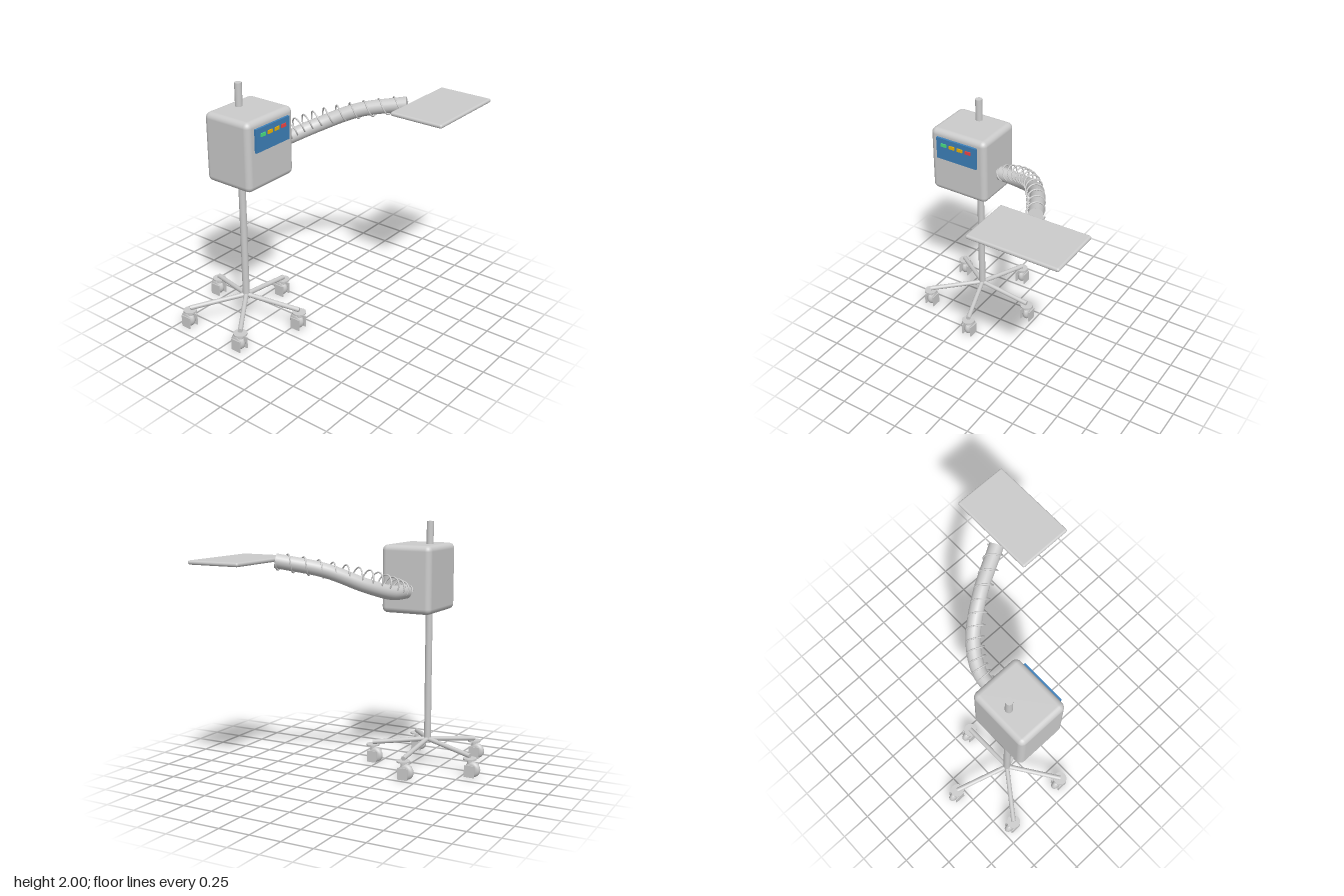
import * as THREE from 'three';
import { RoundedBoxGeometry } from 'three/addons/geometries/RoundedBoxGeometry.js';

const POLE_X = -0.52, POLE_Z = -0.38;
const paint = (color) => new THREE.MeshStandardMaterial({ color });
const grey = paint(0xcccccc);

function add(parent, name, geometry, x = 0, y = 0, z = 0, material = grey) {
  const mesh = new THREE.Mesh(geometry, material);
  mesh.name = name;
  mesh.position.set(x, y, z);
  parent.add(mesh);
  return mesh;
}

// Round bar between two points
function addBar(parent, name, a, b, radius) {
  const dir = b.clone().sub(a);
  const mid = a.clone().add(b).multiplyScalar(0.5);
  const bar = add(parent, name, new THREE.CylinderGeometry(radius, radius, dir.length(), 20), mid.x, mid.y, mid.z);
  bar.quaternion.setFromUnitVectors(new THREE.Vector3(0, 1, 0), dir.normalize());
  return bar;
}

// Wire wound around a centre line, rolling from the outer side over the top
class CoilCurve extends THREE.Curve {
  constructor(path, radius, turns) {
    super();
    Object.assign(this, { path, radius, turns });
  }
  getPoint(t, target = new THREE.Vector3()) {
    const up = new THREE.Vector3(0, 1, 0);
    const tangent = this.path.getTangent(t);
    const side = new THREE.Vector3().crossVectors(up, tangent).normalize();
    const lift = new THREE.Vector3().crossVectors(tangent, side);
    const a = t * this.turns * Math.PI * 2;
    return target.copy(this.path.getPoint(t))
      .addScaledVector(side, Math.cos(a) * this.radius)
      .addScaledVector(lift, Math.sin(a) * this.radius);
  }
}

// Swivel caster, trailing towards -z
function createCaster() {
  const caster = new THREE.Group();
  caster.name = 'caster';
  add(caster, 'mountingPlate', new THREE.CylinderGeometry(0.054, 0.054, 0.012, 28), 0, 0.148, 0);
  add(caster, 'swivelStem', new THREE.CylinderGeometry(0.022, 0.022, 0.05, 16), 0, 0.125, 0);

  const profile = [[0.001, -0.028], [0.038, -0.028], [0.055, -0.02], [0.063, -0.007],
    [0.063, 0.007], [0.055, 0.02], [0.038, 0.028], [0.001, 0.028]];
  const wheel = new THREE.LatheGeometry(profile.map(([r, y]) => new THREE.Vector2(r, y)), 28);
  wheel.rotateZ(Math.PI / 2);
  add(caster, 'wheel', wheel, 0, 0.065, -0.025);

  const axle = new THREE.CylinderGeometry(0.01, 0.01, 0.086, 12).rotateZ(Math.PI / 2);
  add(caster, 'axle', axle, 0, 0.06, -0.025);
  for (const s of [-1, 1]) {
    add(caster, 'sideGuard', new THREE.BoxGeometry(0.009, 0.096, 0.086), s * 0.041, 0.054, -0.012);
  }
  return caster;
}

export function createModel() {
  const model = new THREE.Group();
  model.name = 'mobileWarmerStand';

  // Pole
  add(model, 'pole', new THREE.CylinderGeometry(0.028, 0.028, 1.81, 32), POLE_X, 1.095, POLE_Z);

  // Five-legged base
  const base = new THREE.Group();
  base.name = 'wheeledBase';
  base.position.set(POLE_X, 0, POLE_Z);
  model.add(base);
  for (let i = 0; i < 5; i++) {
    const a = (i * Math.PI * 2) / 5, x = Math.cos(a) * 0.455, z = Math.sin(a) * 0.455;
    addBar(base, 'leg', new THREE.Vector3(0, 0.222, 0), new THREE.Vector3(x, 0.17, z), 0.019);
    const caster = createCaster();
    caster.position.set(x, 0, z);
    base.add(caster);
  }

  // Control unit with screen and indicator lights
  add(model, 'controlHousing', new RoundedBoxGeometry(0.504, 0.54, 0.425, 3, 0.045), -0.52, 1.55, -0.284);
  add(model, 'displayPanel', new THREE.BoxGeometry(0.364, 0.18, 0.022), -0.52, 1.675, -0.064, paint(0x3d7fb8));
  [0x4ade80, 0xeab308, 0xeab308, 0xef4444].forEach((color, i) => {
    add(model, 'indicatorLight', new THREE.BoxGeometry(0.048, 0.026, 0.014), -0.632 + i * 0.0747, 1.712, -0.052, paint(color));
  });

  // Flexible hose
  const route = [[-0.27, 1.46, -0.29], [-0.08, 1.47, -0.262], [0.11, 1.535, -0.145],
    [0.3, 1.655, 0.1], [0.48, 1.73, 0.43]].map((p) => new THREE.Vector3(...p));
  const hosePath = new THREE.CatmullRomCurve3(route);
  const radius = 0.056;
  add(model, 'hose', new THREE.TubeGeometry(hosePath, 64, radius, 24));
  for (const t of [0, 1]) {
    const p = hosePath.getPoint(t), dir = hosePath.getTangent(t).multiplyScalar(t ? 1 : -1);
    const cap = add(model, 'hoseEnd', new THREE.CircleGeometry(radius, 24), p.x, p.y, p.z);
    cap.quaternion.setFromUnitVectors(new THREE.Vector3(0, 0, 1), dir);
  }

  // Support spring, sagging less than the hose
  const inset = [0, 0.005, 0.012, 0.01, 0];
  const springPath = new THREE.CatmullRomCurve3(route.map((p, i) =>
    new THREE.Vector3(p.x - inset[i], THREE.MathUtils.lerp(1.46, 1.73, i / 4), p.z + inset[i])));
  const coil = new CoilCurve(springPath, 0.064, 13);
  add(model, 'supportSpring', new THREE.TubeGeometry(coil, 520, 0.006, 8));

  // Flat panel at the end of the hose
  add(model, 'flatPanel', new RoundedBoxGeometry(0.72, 0.032, 0.446, 3, 0.0155), 0.572, 1.732, 0.677);

  return model;
}
